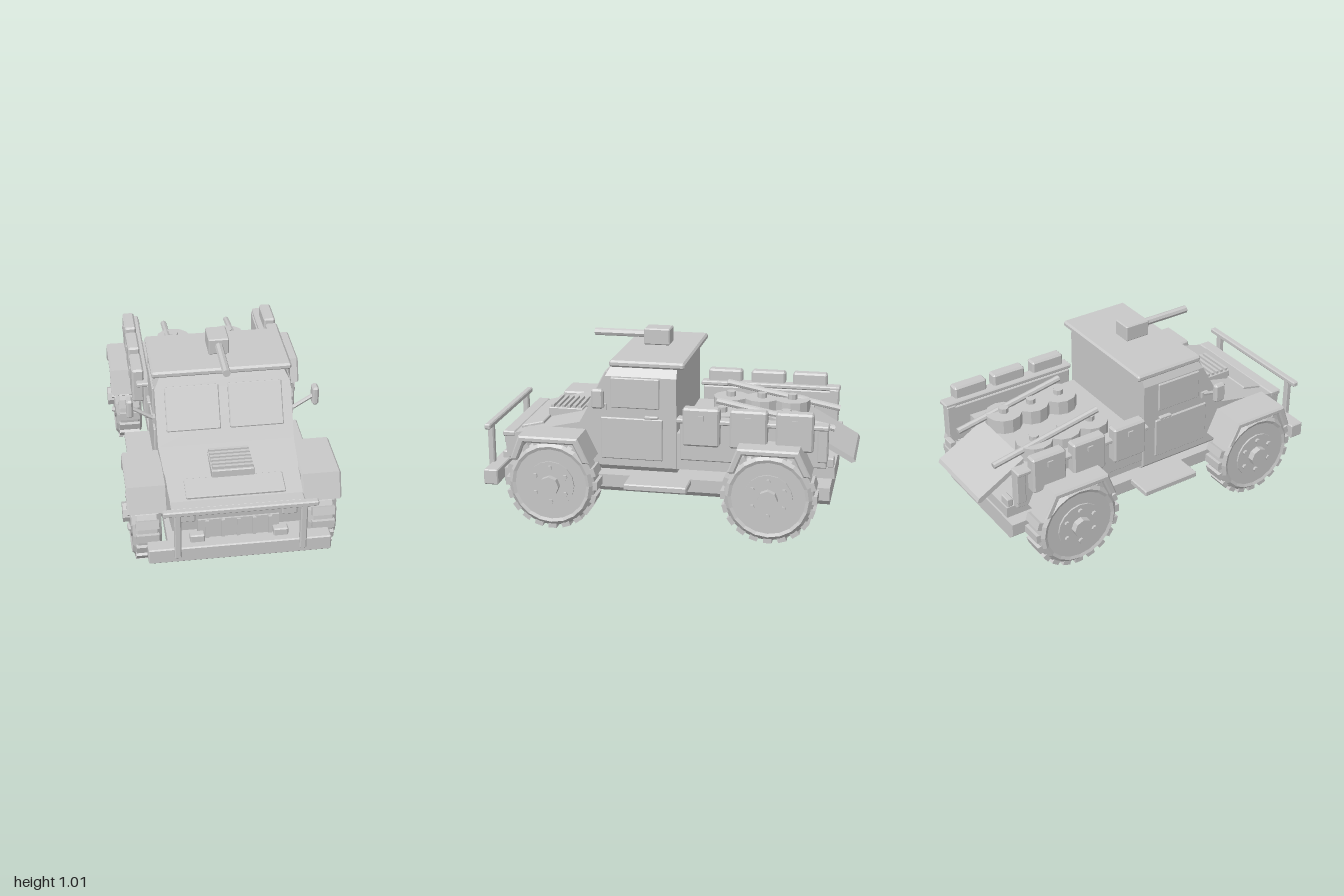
import * as THREE from 'three';
import { ConvexGeometry } from 'three/addons/geometries/ConvexGeometry.js';

const paint = new THREE.MeshStandardMaterial({ color: 0xc8c8c8, flatShading: true });
paint.name = 'plainGrey';

// Box with flat 45 degree chamfers on every edge
function chamferBox(w, h, d, r) {
  const points = [];
  for (const x of [-0.5, 0.5]) for (const y of [-0.5, 0.5]) for (const z of [-0.5, 0.5]) {
    const sx = 2 * x * r, sy = 2 * y * r, sz = 2 * z * r;
    points.push(new THREE.Vector3(x * w, y * h - sy, z * d - sz),
      new THREE.Vector3(x * w - sx, y * h, z * d - sz),
      new THREE.Vector3(x * w - sx, y * h - sy, z * d));
  }
  return new ConvexGeometry(points);
}

// Side outline of [z, y] points, extruded across x0..x1 with an optional bevel
function profile(points, x0, x1, bevel = 0) {
  const shape = new THREE.Shape(points.map(p => new THREE.Vector2(...p)));
  return new THREE.ExtrudeGeometry(shape, {
    depth: x1 - x0 - 2 * bevel, bevelEnabled: bevel > 0, bevelSegments: 1,
    bevelSize: bevel, bevelThickness: bevel, bevelOffset: -bevel,
  }).rotateY(-Math.PI / 2).translate(x1 - bevel, 0, 0);
}

// Narrows the vertices chosen by a rule
function taper(geo, chosen, factor) {
  const p = geo.attributes.position;
  for (let i = 0; i < p.count; i++) if (chosen(p.getY(i), p.getZ(i))) p.setX(i, p.getX(i) * factor);
  geo.computeVertexNormals();
  return geo;
}

export function createModel() {
  const model = new THREE.Group();
  model.name = 'utilityTruck';

  const add = (name, geo, parent = model) => {
    const m = new THREE.Mesh(geo, paint);
    m.name = name;
    parent.add(m);
    return m;
  };
  // Box from its limits, with an optional chamfer
  const box = (name, [x0, x1], [y0, y1], [z0, z1], r = 0) => {
    const w = x1 - x0, h = y1 - y0, d = z1 - z0;
    const m = add(name, r ? chamferBox(w, h, d, r) : new THREE.BoxGeometry(w, h, d));
    m.position.set((x0 + x1) / 2, (y0 + y1) / 2, (z0 + z1) / 2);
    return m;
  };
  // Same box on both sides
  const pair = (name, [x0, x1], y, z, r = 0) => {
    box(name, [x0, x1], y, z, r);
    box(name, [-x1, -x0], y, z, r);
  };
  const rod = (name, a, b, r, sides = 8, parent = model) => {
    const from = new THREE.Vector3(...a), to = new THREE.Vector3(...b);
    const dir = to.clone().sub(from);
    const m = add(name, new THREE.CylinderGeometry(r, r, dir.length(), sides), parent);
    m.position.copy(from).add(to).multiplyScalar(0.5);
    m.quaternion.setFromUnitVectors(new THREE.Vector3(0, 1, 0), dir.normalize());
    return m;
  };

  // Chassis with chamfered lower edges, and running boards
  box('chassis', [-0.36, 0.36], [0.2, 0.27], [-0.88, 0.9]);
  add('chassisBase', taper(profile([[-0.88, 0.17], [0.9, 0.17], [0.9, 0.2], [-0.88, 0.2]], -0.36, 0.36),
    y => y < 0.18, 0.91));
  pair('runningBoard', [0.34, 0.5], [0.235, 0.27], [-0.14, 0.2], 0.006);

  // Cab: straight middle, narrowed sill and top
  add('cabSill', taper(profile([[-0.06, 0.295], [0.47, 0.295], [0.47, 0.325], [-0.06, 0.325]], -0.36, 0.36),
    y => y < 0.3, 0.92));
  add('cab', profile([[-0.06, 0.325], [0.47, 0.325], [0.47, 0.555], [0.325, 0.82], [-0.06, 0.82]],
    -0.36, 0.36));
  add('cabTop', taper(profile([[-0.06, 0.82], [0.325, 0.82], [0.295, 0.875], [-0.06, 0.875]], -0.36, 0.36),
    y => y > 0.85, 0.92));
  box('roof', [-0.37, 0.37], [0.872, 0.908], [-0.105, 0.3], 0.01);

  // Hood tapering towards the nose
  add('hood', taper(profile([[0.46, 0.33], [0.89, 0.33], [0.9, 0.455], [0.46, 0.56]], -0.36, 0.36),
    (y, z) => z > 0.8, 0.93));
  box('hoodVent', [-0.11, 0.11], [0.5, 0.555], [0.52, 0.715], 0.004);
  for (let i = 0; i < 6; i++) {
    const z = 0.53 + i * 0.031;
    box('ventSlat', [-0.105, 0.105], [0.552, 0.57], [z, z + 0.017]);
  }
  box('hoodPanel', [-0.255, 0.255], [0.482, 0.502], [0.7, 0.83], 0.005).rotation.x = 0.234;

  // Windscreen panes
  for (const s of [-1, 1]) {
    const pane = add('windscreenPane', chamferBox(0.285, 0.235, 0.024, 0.005));
    pane.position.set(s * 0.167, 0.73, 0.38);
    pane.rotation.x = -0.501;
  }

  // Doors, side windows and handles
  pair('sideWindow', [0.355, 0.37], [0.65, 0.815], [0.03, 0.295], 0.005);
  pair('door', [0.355, 0.37], [0.365, 0.595], [0.012, 0.35], 0.005);
  pair('doorHandle', [0.355, 0.38], [0.597, 0.613], [0.035, 0.11], 0.004);

  // Mirrors
  pair('mirror', [0.475, 0.51], [0.68, 0.785], [0.3, 0.365], 0.01);
  for (const s of [-1, 1]) {
    rod('mirrorArm', [s * 0.35, 0.645, 0.335], [s * 0.485, 0.73, 0.335], 0.011, 6);
  }
  pair('mirrorFoot', [0.355, 0.375], [0.635, 0.67], [0.315, 0.355]);

  // Roof gun
  box('gunBody', [-0.055, 0.055], [0.925, 1.015], [0.035, 0.18], 0.006);
  rod('gunBarrel', [0, 0.975, 0.17], [0, 0.975, 0.465], 0.021);

  // Fenders: folded arches over each wheel
  const arch = [[0.215, 0.385], [0.165, 0.52], [-0.155, 0.52], [-0.22, 0.385], [-0.18, 0.385],
    [-0.13, 0.485], [0.135, 0.485], [0.175, 0.385]].reverse();
  const axles = [0.59, -0.575];
  for (const z of axles) for (const s of [-1, 1]) {
    const f = add('fender', profile(arch, -0.104, 0.104, 0.009));
    f.position.set(s * 0.449, 0, z);
  }

  // Wheels, axis along x, outer face on +x
  const makeWheel = () => {
    const g = new THREE.Group();
    g.name = 'wheel';
    const section = [[0, -0.075], [0.212, -0.075], [0.238, -0.05], [0.238, 0.05],
      [0.212, 0.075], [0.195, 0.068], [0, 0.068]];
    add('tyre', new THREE.LatheGeometry(section.map(p => new THREE.Vector2(...p)), 20)
      .rotateZ(-Math.PI / 2), g);
    const disc = (name, r, x0, x1, sides, y = 0, z = 0) =>
      rod(name, [x0, y, z], [x1, y, z], r, sides, g);
    disc('rim', 0.13, 0.05, 0.077, 16);
    disc('hub', 0.054, 0.06, 0.112, 8);
    for (let i = 0; i < 6; i++) {
      const a = i * Math.PI / 3;
      disc('wheelBolt', 0.014, 0.06, 0.09, 6, Math.cos(a) * 0.095, Math.sin(a) * 0.095);
    }
    for (let i = 0; i < 20; i++) {
      const lug = add('treadLug', new THREE.BoxGeometry(0.118, 0.03, 0.045)
        .translate(0, 0.237, 0), g);
      lug.rotation.x = i * Math.PI / 10;
    }
    return g;
  };
  for (const z of axles) {
    for (const s of [-1, 1]) {
      const w = makeWheel();
      w.position.set(s * 0.455, 0.252, z);
      if (s < 0) w.rotation.y = Math.PI;
      model.add(w);
    }
    rod('axle', [-0.4, 0.25, z], [0.4, 0.25, z], 0.04);
  }

  // Load bed with side walls, rails and rear posts
  box('bedDeck', [-0.345, 0.345], [0.32, 0.38], [-0.9, -0.05]);
  box('bedFloor', [-0.345, 0.345], [0.38, 0.52], [-0.73, -0.05]);
  pair('bedWall', [0.345, 0.385], [0.385, 0.6], [-0.86, -0.085], 0.006);
  pair('bedRail', [0.35, 0.425], [0.6, 0.625], [-0.87, -0.07], 0.006);
  pair('rearPost', [0.345, 0.4], [0.42, 0.61], [-0.865, -0.81], 0.006);
  pair('tailLight', [0.28, 0.345], [0.38, 0.43], [-0.895, -0.86], 0.005);

  // Stowage boxes hung on the walls
  for (const z of [-0.205, -0.455, -0.695]) {
    pair('stowageBox', [0.38, 0.447], [0.485, 0.69], [z - 0.098, z + 0.098], 0.01);
    pair('boxLatch', [0.44, 0.455], [0.625, 0.655], [z - 0.015, z + 0.015]);
  }

  // Round cargo discs with caps, and sloping bars
  for (const s of [-1, 1]) {
    for (const z of [-0.62, -0.45, -0.275]) {
      rod('cargoDisc', [s * 0.16, 0.5, z], [s * 0.16, 0.6, z], 0.1, 12);
      rod('discCap', [s * 0.16, 0.59, z], [s * 0.16, 0.628, z], 0.027, 8);
    }
    rod('cargoBar', [s * 0.193, 0.67, -0.25], [s * 0.193, 0.55, -0.885], 0.018);
  }

  // Sloping tail ramp
  add('tailRamp', profile([[-0.72, 0.52], [-0.72, 0.55], [-0.99, 0.4], [-1, 0.38], [-0.98, 0.372]],
    -0.22, 0.22));

  // Bumper and brush guard
  box('bumper', [-0.465, 0.465], [0.205, 0.29], [0.905, 0.985], 0.006);
  box('guardBar', [-0.39, 0.39], [0.492, 0.522], [0.962, 0.998], 0.006);
  pair('guardPost', [0.3, 0.335], [0.235, 0.51], [0.964, 0.998], 0.006);

  // Nose: grille, lamps and tow hooks
  box('noseLip', [-0.34, 0.34], [0.445, 0.475], [0.84, 0.91], 0.006);
  box('grillePanel', [-0.207, 0.207], [0.27, 0.395], [0.87, 0.905]);
  for (let i = -2; i <= 2; i++) {
    box('grilleSlat', [i * 0.08 - 0.009, i * 0.08 + 0.009], [0.27, 0.393], [0.89, 0.918]);
  }
  pair('headlight', [0.22, 0.3], [0.395, 0.47], [0.87, 0.915], 0.006);
  pair('towHook', [0.175, 0.25], [0.28, 0.33], [0.9, 0.945], 0.006);

  return model;
}
